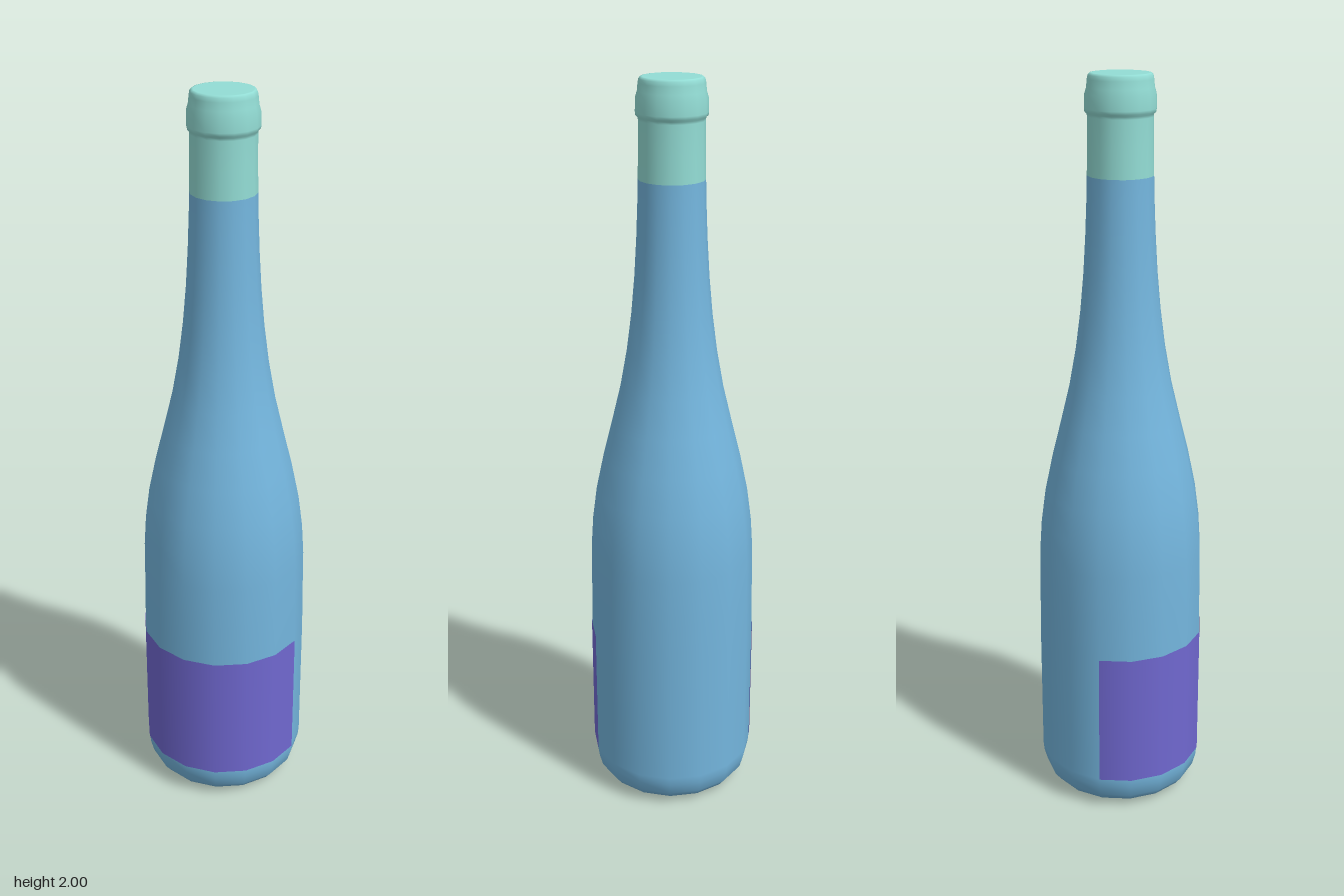
import * as THREE from 'three';

const SIDES = 16;

// Turns [radius, height] pairs into a smooth mesh around the y axis.
function turned(name, color, profile, segments = SIDES, start = 0, sweep = Math.PI * 2) {
  const points = profile.map(([r, y]) => new THREE.Vector2(r, y));
  const mesh = new THREE.Mesh(
    new THREE.LatheGeometry(points, segments, start, sweep),
    new THREE.MeshStandardMaterial({ color, side: THREE.DoubleSide })
  );
  mesh.name = name;
  return mesh;
}

export function createModel() {
  const group = new THREE.Group();
  group.name = 'bottle';

  // Glass: rounded foot, nearly straight body, long sloping shoulder and neck
  group.add(turned('glassBody', 0x74b6de, [
    [0, 0], [0.1, 0.001], [0.172, 0.008], [0.2, 0.02], [0.217, 0.042], [0.226, 0.075],
    [0.2285, 0.1], [0.2285, 0.48], [0.2265, 0.6], [0.225, 0.72], [0.219, 0.81],
    [0.207, 0.9], [0.186, 1.0], [0.161, 1.1], [0.137, 1.2], [0.119, 1.3],
    [0.106, 1.4], [0.097, 1.5], [0.091, 1.6], [0.087, 1.7], [0.086, 1.75]
  ]));

  // Foil capsule: sleeve on the neck, raised lip and flat top
  group.add(turned('capsule', 0x93ddd5, [
    [0.086, 1.75], [0.0845, 1.82], [0.084, 1.895], [0.085, 1.902], [0.0905, 1.907],
    [0.0915, 1.915], [0.0905, 1.95], [0.086, 1.965], [0.084, 1.985], [0.082, 1.995],
    [0.078, 1.9995], [0.074, 2], [0, 2]
  ]));

  // Paper label wrapped round nine of the sixteen sides
  const step = (Math.PI * 2) / SIDES;
  group.add(turned('label', 0x7068d0, [[0.23, 0.1], [0.23, 0.48]], 9, -Math.PI, step * 9));

  return group;
}
